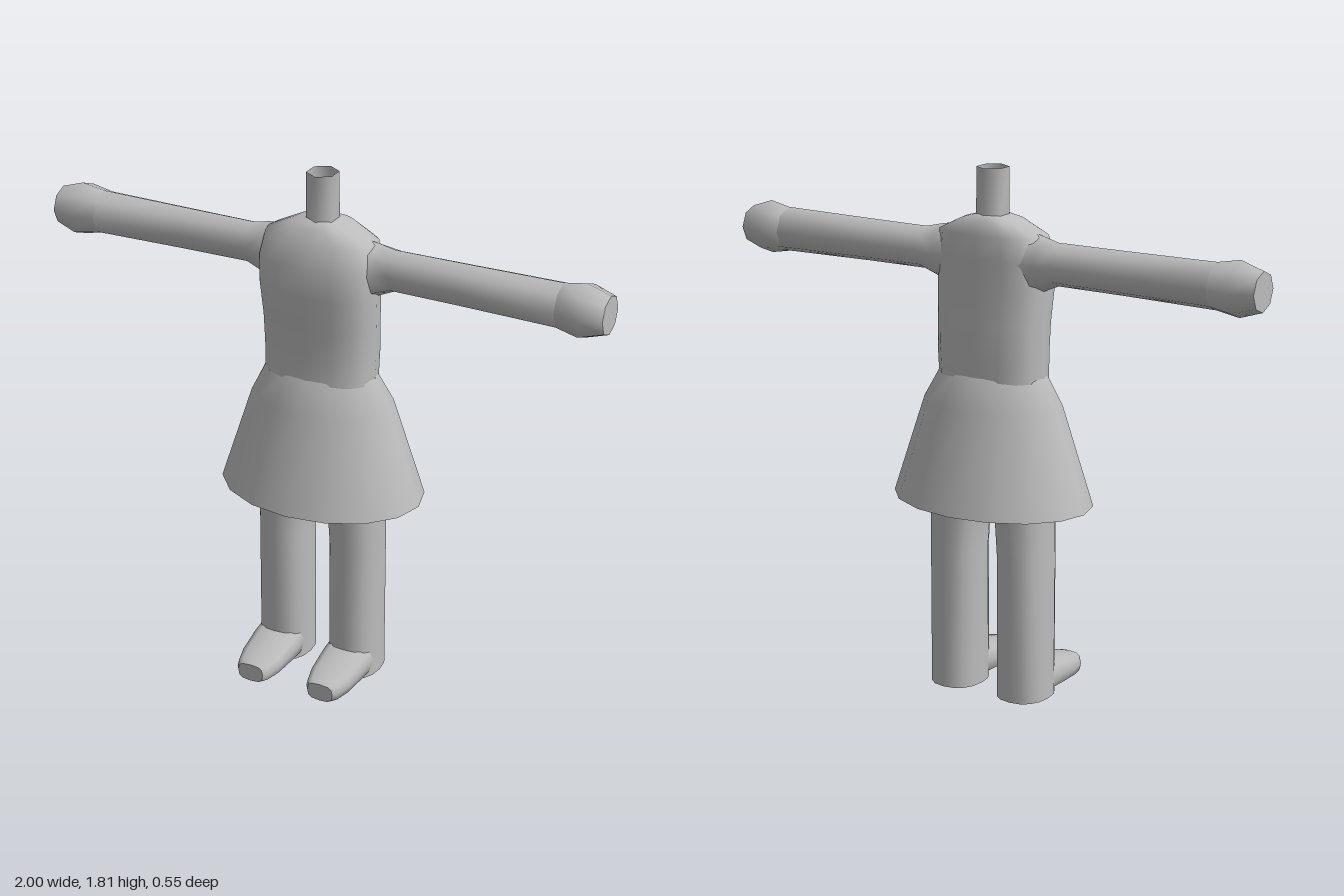
import * as THREE from 'three';

const fabric = new THREE.MeshStandardMaterial({ color: 0xbcbcbc, side: THREE.DoubleSide });
fabric.name = 'plain grey';

// Maps a section point (u, v across; t along) to the chosen axis
const AXES = {
  x: (u, v, t) => [t, v, u],
  y: (u, v, t) => [u, t, v],
  z: (u, v, t) => [v, u, t],
};

// Skin over oval sections [t, centreU, radiusU, centreV, radiusV]; power < 1 makes them boxier
function loft(sections, { axis = 'y', sides = 16, power = 1, start = false, end = false, mirror = false, turn = 0 } = {}) {
  const pos = [], idx = [];
  const place = AXES[axis];
  const soft = (c) => Math.sign(c) * Math.pow(Math.abs(c), power);
  const ring = ([t, cu, ru, cv, rv]) => {
    const first = pos.length / 3;
    for (let j = 0; j < sides; j++) {
      const a = (j / sides) * Math.PI * 2 + turn;
      pos.push(...place(cu + ru * soft(Math.cos(a)), cv + rv * soft(Math.sin(a)), t));
    }
    return first;
  };
  const rings = sections.map(ring);
  for (let i = 0; i + 1 < rings.length; i++) {
    for (let j = 0; j < sides; j++) {
      const k = (j + 1) % sides;
      const a = rings[i] + j, b = rings[i] + k, c = rings[i + 1] + j, d = rings[i + 1] + k;
      idx.push(a, c, b, b, c, d);
    }
  }
  // Flat caps keep their own vertices so the rim stays sharp
  const cap = (s, top) => {
    const first = ring(s), mid = pos.length / 3;
    pos.push(...place(s[1], s[3], s[0]));
    for (let j = 0; j < sides; j++) {
      const p = first + j, q = first + ((j + 1) % sides);
      idx.push(mid, top ? q : p, top ? p : q);
    }
  };
  if (start) cap(sections[0], false);
  if (end) cap(sections[sections.length - 1], true);
  if (mirror) {
    for (let i = 0; i < pos.length; i += 3) pos[i] *= -1;
    idx.reverse();
  }
  const geo = new THREE.BufferGeometry();
  geo.setAttribute('position', new THREE.Float32BufferAttribute(pos, 3));
  geo.setIndex(idx);
  geo.computeVertexNormals();
  return geo;
}

export function createModel() {
  const model = new THREE.Group();
  model.name = 'dressedBody';
  const add = (name, geo) => {
    const mesh = new THREE.Mesh(geo, fabric);
    mesh.name = name;
    model.add(mesh);
  };

  // Torso: waist up to sloping shoulders
  add('torso', loft([
    [1.11, 0, 0.195, 0, 0.12],
    [1.2, 0, 0.198, -0.003, 0.12],
    [1.3, 0, 0.2, 0.002, 0.12],
    [1.42, 0, 0.207, 0.013, 0.123],
    [1.52, 0, 0.205, 0.014, 0.124],
    [1.595, 0, 0.195, 0, 0.105],
    [1.64, 0, 0.1, -0.005, 0.085],
    [1.655, 0, 0.045, -0.005, 0.055],
  ], { power: 0.8, end: true }));

  // Six-sided open neck
  add('neck', loft([
    [1.63, 0, 0.055, -0.005, 0.056],
    [1.81, 0, 0.053, -0.005, 0.055],
  ], { sides: 6, turn: Math.PI / 2 }));

  // Flared open skirt
  add('skirt', loft([
    [1.122, 0, 0.198, 0, 0.122],
    [1.02, 0, 0.25, -0.004, 0.183],
    [0.68, 0, 0.362, -0.005, 0.268],
  ].reverse()));

  for (const mirror of [false, true]) {
    const side = mirror ? 'right' : 'left';

    // Arm: widened at the shoulder
    add(side + 'Arm', loft([
      [0.12, 0, 0.085, 1.51, 0.105],
      [0.2, -0.008, 0.072, 1.508, 0.092],
      [0.26, -0.012, 0.066, 1.514, 0.072],
      [0.5, -0.012, 0.07, 1.514, 0.073],
      [0.84, -0.012, 0.075, 1.513, 0.077],
    ], { axis: 'x', sides: 8, mirror }));

    // Rounded fist
    add(side + 'Hand', loft([
      [0.84, -0.012, 0.075, 1.513, 0.077],
      [0.92, -0.008, 0.094, 1.513, 0.092],
      [1.0, -0.008, 0.066, 1.513, 0.066],
    ], { axis: 'x', sides: 8, end: true, mirror }));

    // Straight leg
    add(side + 'Leg', loft([
      [0, 0.135, 0.09, -0.005, 0.105],
      [0.5, 0.135, 0.09, -0.005, 0.105],
      [0.68, 0.128, 0.097, -0.005, 0.105],
      [0.85, 0.11, 0.11, -0.003, 0.11],
      [1.08, 0.095, 0.095, 0, 0.105],
    ], { power: 0.85, start: true, mirror }));

    // Foot tapering to a blunt toe
    add(side + 'Foot', loft([
      [0.0, 0.065, 0.065, 0.135, 0.086],
      [0.1, 0.055, 0.055, 0.135, 0.085],
      [0.2, 0.043, 0.043, 0.135, 0.077],
      [0.255, 0.037, 0.037, 0.135, 0.062],
      [0.275, 0.036, 0.032, 0.135, 0.048],
    ], { axis: 'z', sides: 12, power: 0.65, end: true, mirror }));
  }
  return model;
}
